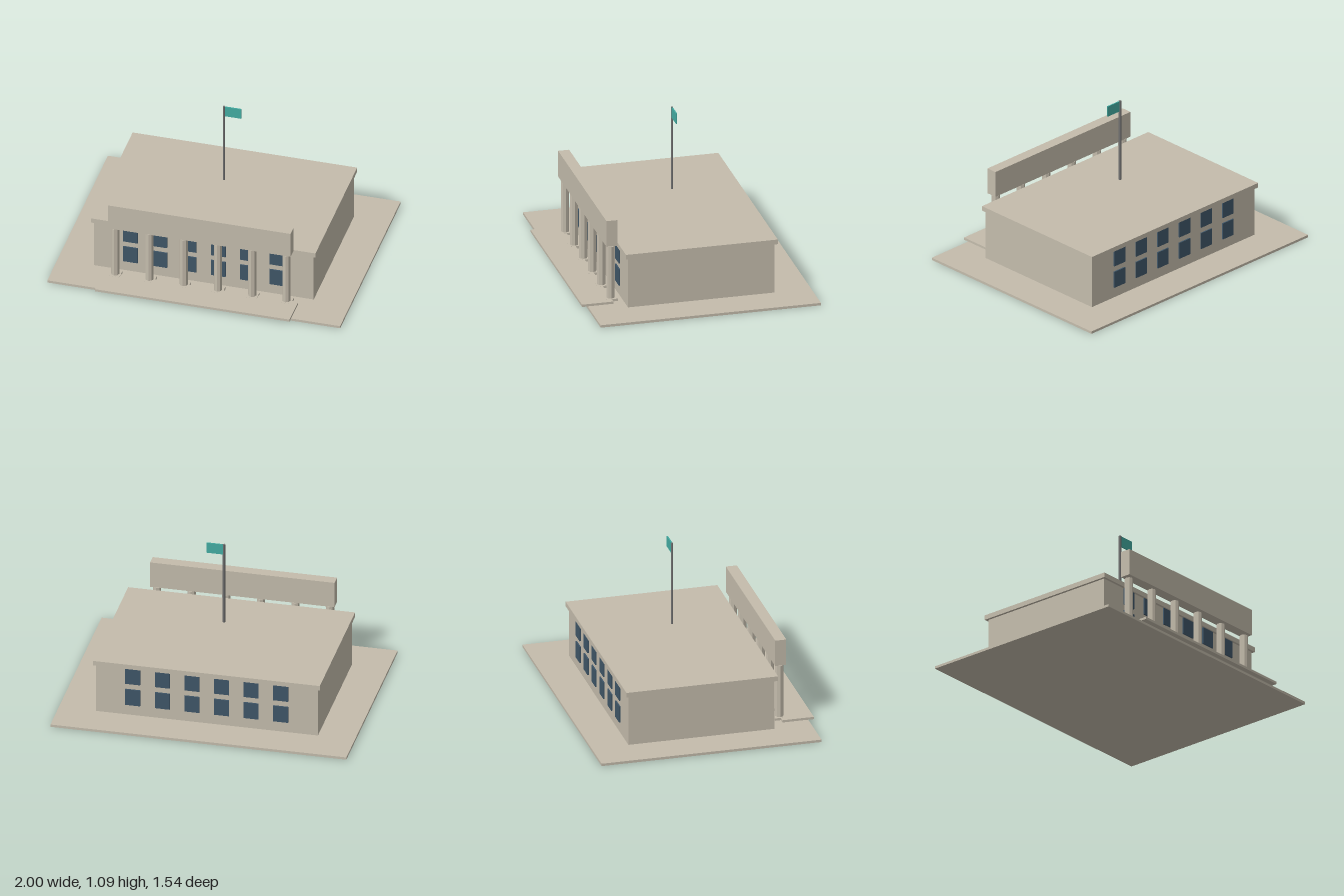
import * as THREE from 'three';

export function createModel() {
  const material = (name, color) => {
    const m = new THREE.MeshStandardMaterial({ color, flatShading: true });
    m.name = name;
    return m;
  };
  const stone = material('stone', 0xc4bcac);
  const glass = material('darkGlass', 0x3f5668);
  const metal = material('poleGrey', 0x707070);
  const teal = material('flagTeal', 0x43aca2);

  const model = new THREE.Group();
  model.name = 'civicBuilding';

  const add = (name, geometry, mat, x, y, z) => {
    const mesh = new THREE.Mesh(geometry, mat);
    mesh.name = name;
    mesh.position.set(x, y, z);
    model.add(mesh);
  };
  // Box given by its extents along each axis
  const box = (name, mat, x0, x1, y0, y1, z0, z1) =>
    add(name, new THREE.BoxGeometry(x1 - x0, y1 - y0, z1 - z0), mat,
      (x0 + x1) / 2, (y0 + y1) / 2, (z0 + z1) / 2);

  // Ground slab, entrance step, main block and overhanging roof
  box('groundSlab', stone, -1, 1, 0, 0.017, -0.769, 0.731);
  box('entranceStep', stone, -0.665, 0.665, 0.0165, 0.033, 0.555, 0.769);
  box('mainBlock', stone, -0.75, 0.75, 0.017, 0.367, -0.519, 0.479);
  box('roofSlab', stone, -0.767, 0.767, 0.367, 0.4, -0.537, 0.497);

  // Colonnade on square plinths, below the parapet beam
  for (let i = 0; i < 6; i++) {
    const x = -0.585 + i * 0.234;
    box('columnPlinth', stone, x - 0.04, x + 0.04, 0.017, 0.0335, 0.514, 0.594);
    add('column', new THREE.CylinderGeometry(0.028, 0.028, 0.367, 8), stone, x, 0.2165, 0.555);
  }
  box('parapetBeam', stone, -0.623, 0.623, 0.41, 0.593, 0.517, 0.592);

  // Two rows of windows on the front and back walls
  for (const z of [0.483, -0.523]) {
    for (const y of [0.15, 0.308]) {
      for (let i = 0; i < 6; i++) {
        add('window', new THREE.BoxGeometry(0.1, 0.117, 0.0099), glass, -0.5 + i * 0.2, y, z);
      }
    }
  }

  // Flagpole and flag
  add('flagpole', new THREE.CylinderGeometry(0.0085, 0.0085, 0.583, 8), metal, 0, 0.8015, -0.019);
  box('flag', teal, 0, 0.118, 1.018, 1.092, -0.023, -0.015);

  return model;
}
